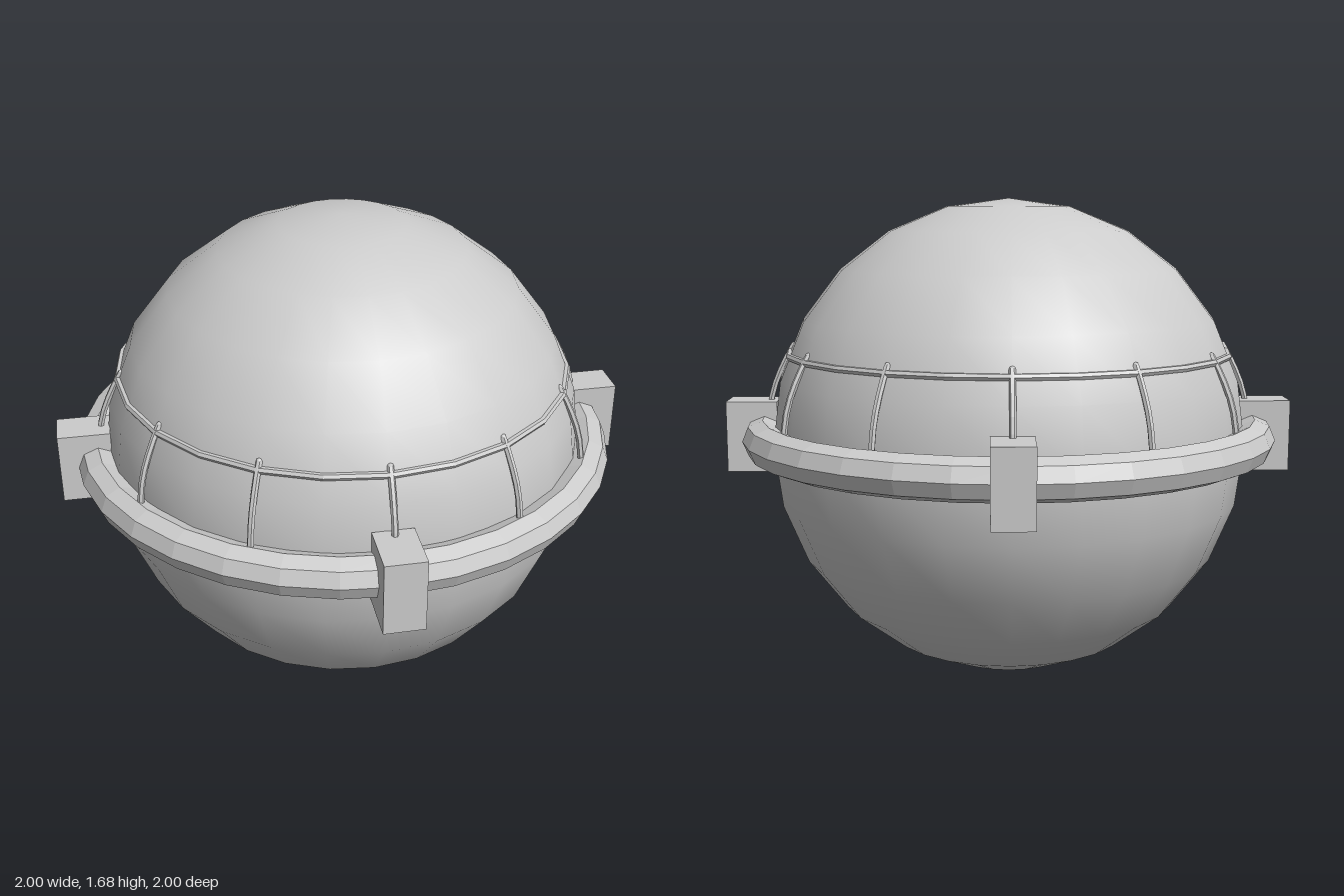
import * as THREE from 'three';

export function createModel() {
  const model = new THREE.Group();
  const grey = new THREE.MeshStandardMaterial({ color: 0xcccccc });
  grey.name = 'light grey';

  const add = (name, geometry, parent = model) => {
    const mesh = new THREE.Mesh(geometry, grey);
    mesh.name = name;
    parent.add(mesh);
    return mesh;
  };
  // Split the faces so that a low-poly part gets hard facets
  const faceted = (geometry) => {
    const g = geometry.toNonIndexed();
    g.computeVertexNormals();
    return g;
  };
  const ring = (name, radius, tube, sides, segments, y) => {
    const g = new THREE.TorusGeometry(radius, tube, sides, segments);
    add(name, faceted(g.rotateX(Math.PI / 2))).position.y = y;
  };

  // Smooth globe
  add('globe', new THREE.SphereGeometry(0.84, 24, 12)).position.y = 0.84;

  // Thick belt around the middle and thin rail above it
  ring('belt', 0.872, 0.071, 8, 32, 0.847);
  ring('upperRail', 0.778, 0.012, 6, 24, 1.142);

  // Four blocks clamped on the belt
  const blockShape = new THREE.BoxGeometry(0.135, 0.25, 0.18);
  for (let i = 0; i < 4; i++) {
    const arm = new THREE.Group();
    arm.name = 'blockMount';
    arm.rotation.y = (i * Math.PI) / 2;
    model.add(arm);
    add('block', blockShape, arm).position.set(0, 0.845, 0.91);
  }

  // Twelve curved ribs joining the belt to the rail
  const path = new THREE.CatmullRomCurve3([
    [0.765, 1.165], [0.802, 1.1], [0.842, 1.0], [0.862, 0.88],
  ].map(([r, y]) => new THREE.Vector3(0, y, r)));
  const ribShape = faceted(new THREE.TubeGeometry(path, 6, 0.011, 6));
  // Small cap that closes the upper end of a rib
  const capShape = new THREE.SphereGeometry(0.011, 6, 4);
  for (let i = 0; i < 12; i++) {
    const rib = new THREE.Group();
    rib.name = 'rib';
    rib.rotation.y = (i * Math.PI) / 6;
    model.add(rib);
    add('ribBar', ribShape, rib);
    add('ribTip', capShape, rib).position.set(0, 1.165, 0.765);
  }
  return model;
}
